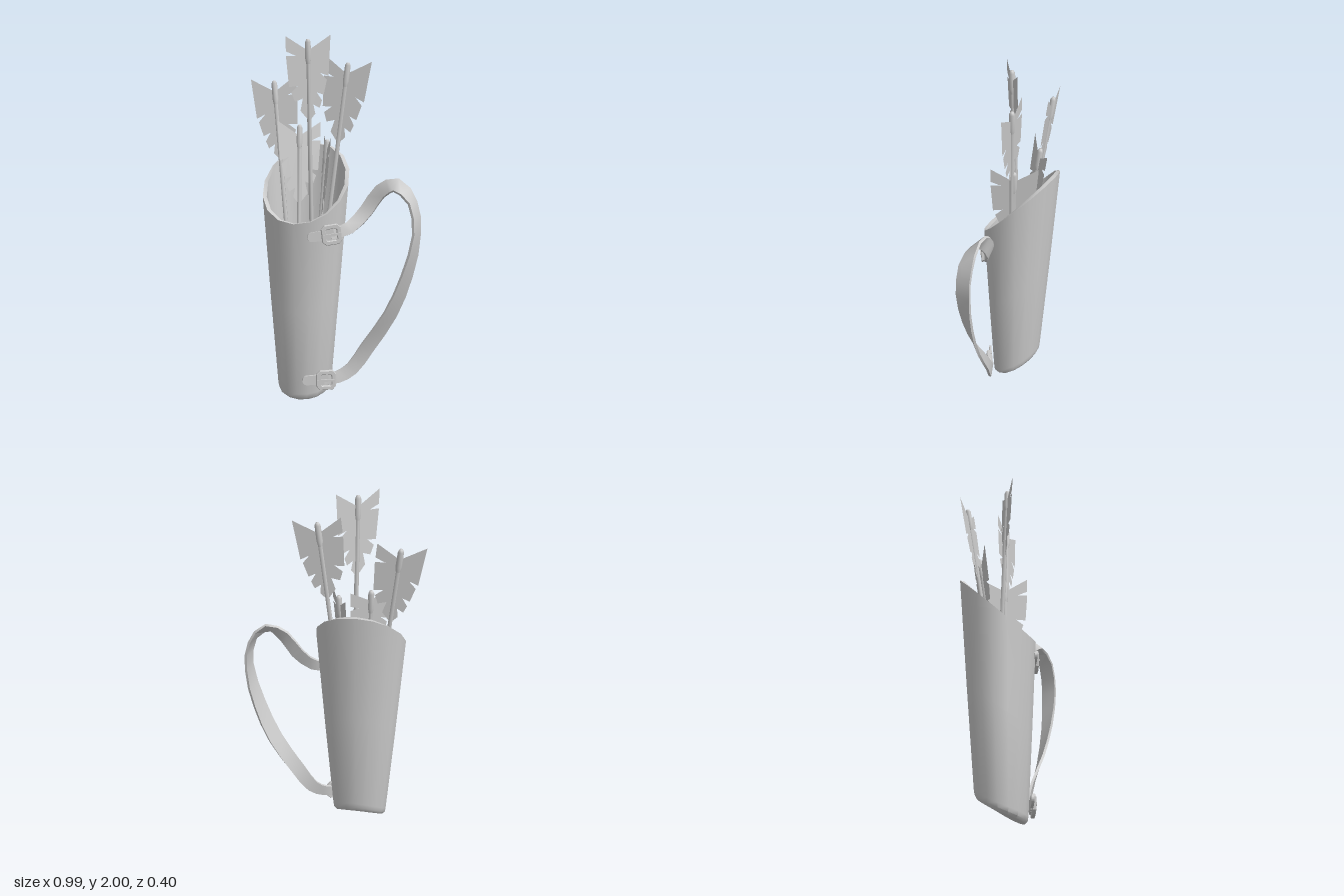
import * as THREE from 'three';
import { toCreasedNormals } from 'three/addons/utils/BufferGeometryUtils.js';

const mat = new THREE.MeshStandardMaterial({ color: 0xcccccc });
const thinMat = new THREE.MeshStandardMaterial({ color: 0xcccccc, side: THREE.DoubleSide });
const V = (x, y, z) => new THREE.Vector3(x, y, z);
const lerp = THREE.MathUtils.lerp;

function mesh(name, geometry, material = mat) {
  const m = new THREE.Mesh(geometry, material);
  m.name = name;
  return m;
}

// Skins a series of closed rings, each with the same number of points.
function loft(rings, crease) {
  const n = rings[0].length, pos = [], idx = [];
  rings.forEach(r => r.forEach(p => pos.push(p.x, p.y, p.z)));
  for (let i = 0; i < rings.length - 1; i++) {
    for (let j = 0; j < n; j++) {
      const a = i * n + j, b = i * n + (j + 1) % n;
      idx.push(a, b, b + n, a, b + n, a + n);
    }
  }
  const g = new THREE.BufferGeometry();
  g.setAttribute('position', new THREE.Float32BufferAttribute(pos, 3));
  g.setIndex(idx);
  return toCreasedNormals(g, crease);
}

// Quiver: tapered oval tube with slanted floor and mouth.
// t = height along the wall, inset = wall thickness, k = scale towards the axis, lift = extra height
function quiverRing(t, inset = 0, k = 1, lift = 0) {
  const ring = [];
  for (let j = 0; j < 16; j++) {
    const a = j / 16 * Math.PI * 2, s = Math.sin(a) * k, c = Math.cos(a) * k;
    const bottom = 0.055 - 0.08 * c + 0.02 * c * c, top = 1.2 - 0.2 * c;
    ring.push(V(
      -0.155 + s * (lerp(0.155, 0.245, t) - inset),
      lerp(bottom, top, t) + lift,
      lerp(0.025, 0, t) + c * (lerp(0.135, 0.2, t) - inset)));
  }
  return ring;
}

function makeQuiver() {
  return mesh('quiver', loft([
    quiverRing(0, 0, 0), quiverRing(0, 0, 0.6), quiverRing(0, 0, 0.88), quiverRing(0, 0, 0.97, 0.015),
    quiverRing(0, 0, 1, 0.04), quiverRing(0.5), quiverRing(1),
    quiverRing(1, 0.022), quiverRing(0.5, 0.022), quiverRing(0, 0.022, 1, 0.05), quiverRing(0, 0.022, 0, 0.05),
  ], 0.75));
}

// Vane outlines: distance from the shaft, distance below the nock end
const wideVane = [[0, 0.06], [0.13, -0.02], [0.115, 0.2], [0.065, 0.18], [0.105, 0.22], [0.085, 0.3], [0.045, 0.285],
  [0.075, 0.33], [0.06, 0.37], [0.025, 0.35], [0.035, 0.4], [0, 0.44]];
const splitVane = [[0, 0.06], [0.125, -0.02], [0.125, 0.06], [0.07, 0.085], [0.125, 0.085], [0.112, 0.25], [0.06, 0.245],
  [0.1, 0.28], [0.08, 0.33], [0.035, 0.315], [0.05, 0.38], [0, 0.44]];

// Arrow standing nock up, with two opposite vanes; (dx, dz) is the direction of the split vane
function makeArrow(base, tip, dx, dz) {
  const g = new THREE.Group();
  g.name = 'arrow';
  const up = tip.clone().sub(base), len = up.length();
  up.normalize();
  const side = V(dx, 0, dz);
  side.addScaledVector(up, -side.dot(up)).normalize();
  g.matrixAutoUpdate = true;
  g.quaternion.setFromRotationMatrix(new THREE.Matrix4().makeBasis(side, up, side.clone().cross(up)));
  g.position.copy(tip);

  const shaft = mesh('shaft', new THREE.CylinderGeometry(0.012, 0.012, len - 0.1, 6));
  shaft.position.y = -0.1 - (len - 0.1) / 2;
  const nock = mesh('nock', new THREE.LatheGeometry(
    [[0.012, -0.13], [0.017, -0.1], [0.016, -0.015], [0.009, 0], [0, 0.002]].map(p => new THREE.Vector2(...p)), 8));
  g.add(shaft, nock);

  [[splitVane, 1], [wideVane, -1]].forEach(([outline, sign]) => {
    const shape = new THREE.Shape(outline.map(([r, s]) => new THREE.Vector2(r * sign, -s)));
    g.add(mesh('vane', new THREE.ShapeGeometry(shape), thinMat));
  });
  return g;
}

// Strap: flat band that turns from facing forward at the buckles to facing outward at the side
function makeStrap() {
  const stations = [ // x, y, z, turn in degrees
    [-0.01, 0.125, 0.125, 0], [0.06, 0.135, 0.085, 0], [0.13, 0.18, 0.05, 10], [0.21, 0.3, 0.03, 25],
    [0.34, 0.5, 0.025, 45], [0.43, 0.72, 0.025, 62], [0.48, 0.95, 0.02, 80], [0.455, 1.12, 0.015, 78],
    [0.36, 1.21, 0.005, 45], [0.27, 1.17, 0, 20], [0.2, 1.07, 0.01, 5], [0.12, 0.975, 0.07, 0], [0.03, 0.945, 0.13, 0]];
  const curve = new THREE.CatmullRomCurve3(stations.map(s => V(s[0], s[1], s[2])));
  const spans = stations.length - 1, steps = spans * 2, rings = [];
  for (let i = 0; i <= steps; i++) {
    const u = i / steps * spans, k = Math.min(Math.floor(u), spans - 1);
    const turn = THREE.MathUtils.degToRad(lerp(stations[k][3], stations[k + 1][3], u - k));
    const p = curve.getPoint(i / steps), t = curve.getTangent(i / steps);
    const out = t.clone().cross(V(0, 0, 1)).normalize(), front = out.clone().cross(t);
    const across = out.clone().multiplyScalar(Math.cos(turn)).addScaledVector(front, -Math.sin(turn));
    const face = front.clone().multiplyScalar(Math.cos(turn)).addScaledVector(out, Math.sin(turn));
    const half = lerp(0.03, 0.044, Math.sin(Math.PI * i / steps));
    rings.push([[1, 1], [-1, 1], [-1, -1], [1, -1]].map(([f, w]) =>
      p.clone().addScaledVector(face, f * 0.007).addScaledVector(across, w * half)));
    if (i === 0) rings.unshift(Array(4).fill(p));
    if (i === steps) rings.push(Array(4).fill(p));
  }
  return mesh('strap', loft(rings, 0.7));
}

function roundedRect(target, w, h, r) {
  target.moveTo(-w + r, -h);
  target.lineTo(w - r, -h); target.lineTo(w, -h + r);
  target.lineTo(w, h - r); target.lineTo(w - r, h);
  target.lineTo(-w + r, h); target.lineTo(-w, h - r);
  target.lineTo(-w, -h + r); target.closePath();
  return target;
}

// Buckle: frame, prong and the leather tab that fixes it to the quiver
function makeBuckle(name, x, y, z, tilt) {
  const g = new THREE.Group();
  g.name = name;
  const frameShape = roundedRect(new THREE.Shape(), 0.052, 0.052, 0.018);
  frameShape.holes.push(roundedRect(new THREE.Path(), 0.033, 0.035, 0.008));
  const frame = mesh('buckleFrame', new THREE.ExtrudeGeometry(frameShape,
    { depth: 0.014, bevelEnabled: true, bevelSize: 0.003, bevelThickness: 0.003, bevelSegments: 1 }));
  frame.position.z = 0.004;

  const tabShape = new THREE.Shape();
  tabShape.moveTo(0.015, -0.03);
  tabShape.lineTo(0.015, 0.03);
  tabShape.lineTo(-0.1, 0.026);
  tabShape.absarc(-0.105, 0, 0.026, Math.PI / 2, Math.PI * 1.5, false);
  const tab = mesh('buckleTab', new THREE.ExtrudeGeometry(tabShape, { depth: 0.014, bevelEnabled: false, curveSegments: 6 }));
  tab.position.z = -0.008;

  const prong = mesh('buckleProng', new THREE.BoxGeometry(0.1, 0.012, 0.01));
  prong.position.z = 0.022;
  const loop = mesh('buckleLoop', new THREE.BoxGeometry(0.02, 0.068, 0.03));
  loop.position.set(-0.042, 0, 0.008);
  g.add(frame, tab, prong, loop);
  g.position.set(x, y, z);
  g.rotation.set(0, 0.52, tilt);
  return g;
}

export function createModel() {
  const model = new THREE.Group();
  model.name = 'quiverWithArrows';
  model.add(makeQuiver(), makeStrap());
  model.add(makeBuckle('upperBuckle', 0.035, 0.945, 0.13, 0.12));
  model.add(makeBuckle('lowerBuckle', 0, 0.125, 0.12, 0));

  // Arrows: base, nock end, direction of the split vane
  model.add(
    makeArrow(V(-0.17, 0.15, 0.09), V(-0.37, 1.75, -0.08), 1, -0.17),
    makeArrow(V(-0.12, 0.15, -0.03), V(-0.125, 1.98, 0.045), -0.77, 0.63),
    makeArrow(V(-0.12, 0.15, 0.05), V(0.07, 1.855, -0.055), -1, 0.05),
    makeArrow(V(-0.17, 0.15, 0.1), V(-0.22, 1.51, -0.08), 0.75, -0.65),
    makeArrow(V(-0.13, 0.15, 0.05), V(-0.035, 1.44, -0.015), 0.45, 0.9));
  return model;
}
